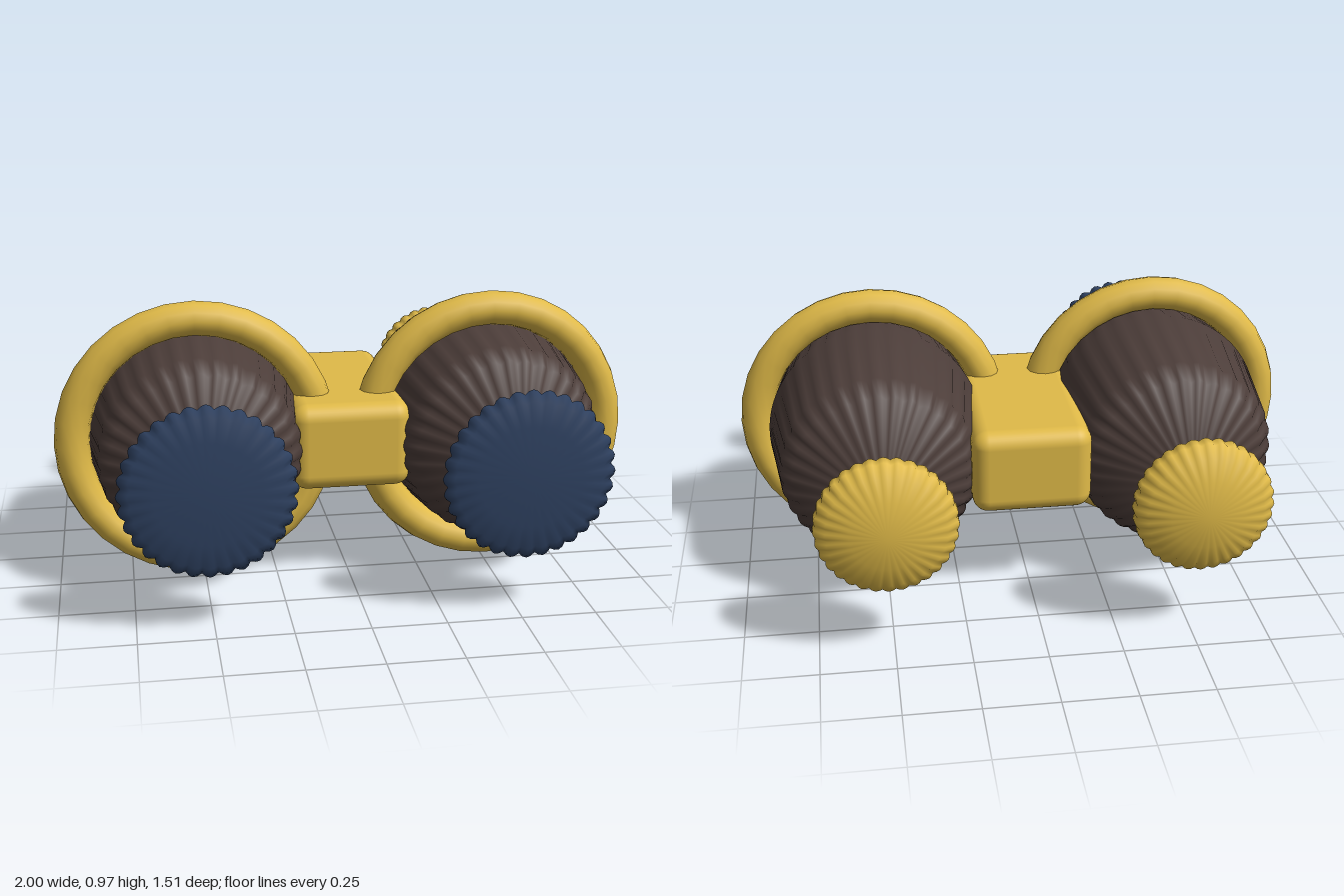
import * as THREE from 'three';
import { mergeVertices } from 'three/addons/utils/BufferGeometryUtils.js';
import { RoundedBoxGeometry } from 'three/addons/geometries/RoundedBoxGeometry.js';

const gold = new THREE.MeshStandardMaterial({ color: 0xe0ba48 });
const brown = new THREE.MeshStandardMaterial({ color: 0x4d3e3a });
const navy = new THREE.MeshStandardMaterial({ color: 0x2f4262 });

const AXIS_Y = 0.49;
const AXIS_X = 0.513;
const FLUTES = 32;

// Turned solid along z. Each profile row is [z, radius, flute depth as a share of the radius].
function flutedSolid(profile) {
  const points = profile.map(([z, r]) => new THREE.Vector2(r, z));
  let geometry = new THREE.LatheGeometry(points, FLUTES * 4);
  const pos = geometry.attributes.position;
  for (let i = 0; i < pos.count; i++) {
    const depth = profile[i % profile.length][2];
    const angle = Math.atan2(pos.getX(i), pos.getZ(i));
    const k = 1 - depth * (1 - Math.abs(Math.cos(angle * FLUTES / 2)));
    pos.setX(i, pos.getX(i) * k);
    pos.setZ(i, pos.getZ(i) * k);
  }
  // Weld the seam so the normals run smoothly around
  geometry.deleteAttribute('uv');
  geometry.deleteAttribute('normal');
  geometry = mergeVertices(geometry, 1e-5);
  geometry.rotateX(Math.PI / 2);
  geometry.computeVertexNormals();
  return geometry;
}

function part(name, geometry, material, z = 0) {
  const mesh = new THREE.Mesh(geometry, material);
  mesh.name = name;
  mesh.position.z = z;
  return mesh;
}

export function createModel() {
  const model = new THREE.Group();
  model.name = 'binoculars';

  const barrelGeometry = flutedSolid([
    [-0.55, 0, 0], [-0.33, 0.3, 0.05], [-0.27, 0.34, 0.03], [0.06, 0.38, 0],
    [0.38, 0.34, 0.03], [0.44, 0.305, 0.05], [0.66, 0, 0],
  ]);
  const lensGeometry = flutedSolid([
    [-0.034, 0, 0], [-0.026, 0.17, 0.01], [-0.016, 0.25, 0.04], [0, 0.285, 0.055],
    [0.016, 0.25, 0.04], [0.026, 0.17, 0.01], [0.034, 0, 0],
  ]);
  const eyepieceGeometry = flutedSolid([
    [-0.095, 0, 0], [-0.073, 0.12, 0.02], [-0.05, 0.195, 0.05], [-0.02, 0.232, 0.04],
    [0.02, 0.232, 0.04], [0.05, 0.195, 0.05], [0.073, 0.12, 0.02], [0.095, 0, 0],
  ]);
  const ringGeometry = new THREE.TorusGeometry(0.425, 0.06, 12, 32);

  // One optical tube per side
  for (const side of [1, -1]) {
    const tube = new THREE.Group();
    tube.name = side > 0 ? 'leftTube' : 'rightTube';
    tube.position.set(side * AXIS_X, AXIS_Y, 0);
    tube.add(
      part('barrel', barrelGeometry, brown),
      part('ring', ringGeometry, gold, 0.185),
      part('frontLens', lensGeometry, navy, 0.722),
      part('eyepiece', eyepieceGeometry, gold, -0.664),
    );
    model.add(tube);
  }

  // Bridge joining the two tubes
  const bridge = part('bridge', new RoundedBoxGeometry(0.41, 0.3, 0.76, 4, 0.055), gold);
  bridge.position.y = AXIS_Y;
  model.add(bridge);

  return model;
}
